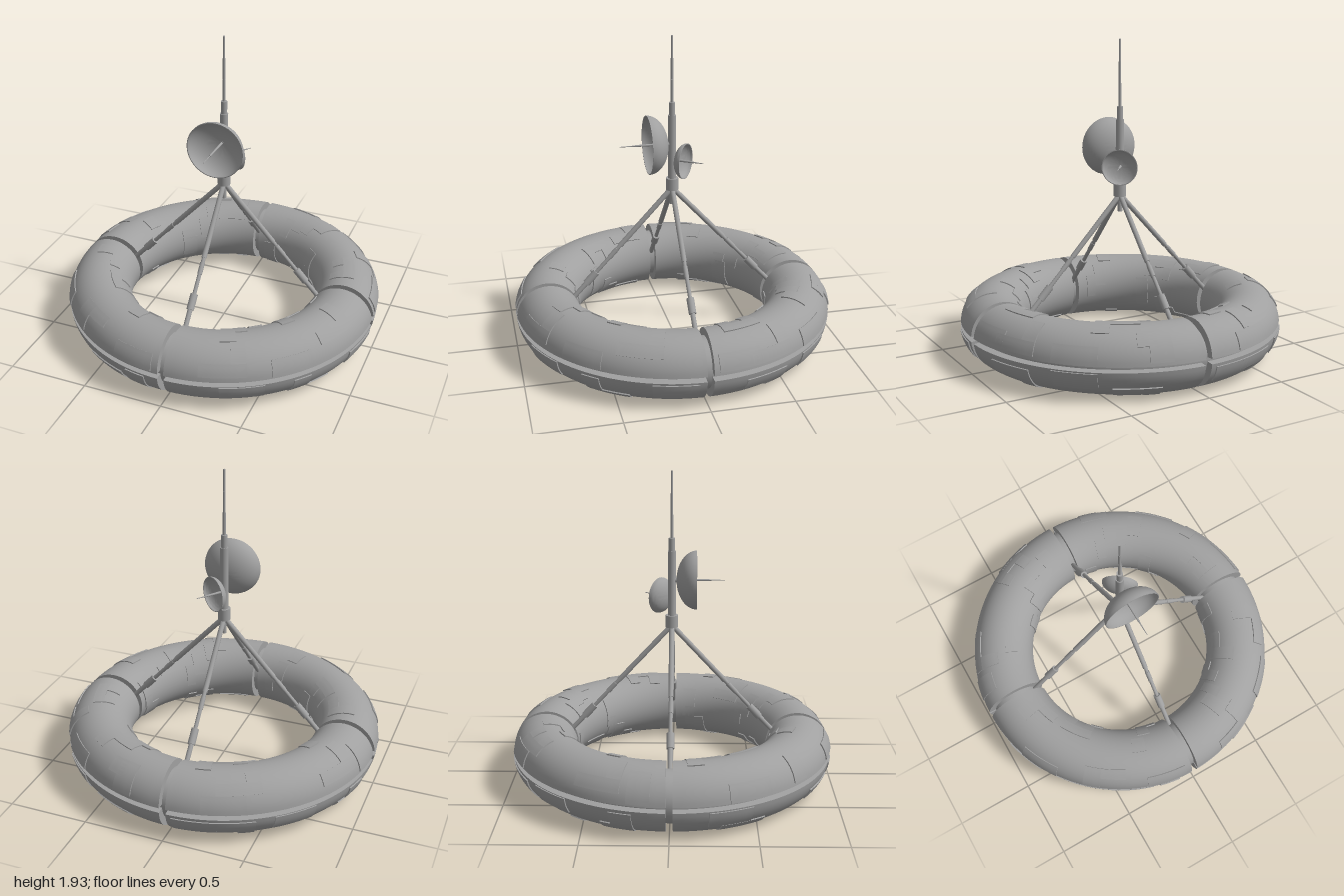
import * as THREE from 'three';
import { toCreasedNormals } from 'three/addons/utils/BufferGeometryUtils.js';

const RING = 0.795, MID = 0.207, SHELL = 0.198, PLATE = 0.205, CORE = 0.152, GAP = 0.02;
const rad = THREE.MathUtils.degToRad;

export function createModel() {
  const model = new THREE.Group();
  const grey = new THREE.MeshStandardMaterial({ color: 0xa0a0a0 });
  grey.name = 'hull grey';

  function add(parent, name, geometry) {
    const mesh = new THREE.Mesh(geometry, grey);
    mesh.name = name;
    parent.add(mesh);
    return mesh;
  }

  function group(parent, name) {
    const g = new THREE.Group();
    g.name = name;
    parent.add(g);
    return g;
  }

  // Box bent onto the ring: t runs around the ring, p around the tube, r is distance from the tube centre.
  // With gap set, the ends stay parallel to the neighbouring quadrant.
  function bend(t0, t1, p0, p1, r0, r1, gap = 0) {
    const nt = Math.max(1, Math.ceil((t1 - t0) / 3)), np = Math.max(1, Math.ceil((p1 - p0) / 7));
    const geo = new THREE.BoxGeometry(1, 1, 1, nt, np, 1);
    const pos = geo.attributes.position;
    for (let i = 0; i < pos.count; i++) {
      const p = rad(THREE.MathUtils.lerp(p0, p1, pos.getY(i) + 0.5));
      const r = THREE.MathUtils.lerp(r0, r1, pos.getZ(i) + 0.5);
      const rho = RING + r * Math.cos(p);
      const inset = gap ? Math.asin(gap / rho) : 0;
      const t = THREE.MathUtils.lerp(rad(t0) + inset, rad(t1) - inset, pos.getX(i) + 0.5);
      pos.setXYZ(i, rho * Math.cos(t), MID + r * Math.sin(p), -rho * Math.sin(t));
    }
    geo.computeVertexNormals();
    return geo;
  }

  // Ring: recessed core and four shell quadrants, with a slot along the outer equator
  const ring = group(model, 'ring');
  const core = add(ring, 'ringCore', new THREE.TorusGeometry(RING, CORE, 32, 96));
  core.rotation.x = Math.PI / 2;
  core.position.y = MID;
  for (let q = 0; q < 4; q++) {
    add(ring, 'ringShell', bend(q * 90, q * 90 + 90, 4.6, 355.4, 0.14, SHELL, GAP));
  }

  // Hull plate outlines as patches of cells: [around from, around to, tube from, tube to]
  const CELL_T = 5.5, CELL_P = 25;
  const outlines = {
    tile: [[0, 1.2, 0, 1.1]],
    slab: [[0, 2.8, 0, 1.2]],
    bar: [[0, 1.4, 0, 2.2]],
    ell: [[0, 3, 0, 0.9], [2, 3, 0.9, 2.4]],
    corner: [[0, 1.2, 0, 2], [1.2, 3, 1.2, 2]],
    hook: [[0, 3, 0, 0.8], [0, 1, 0.8, 1.8], [2, 3, 0.8, 1.6]],
    zig: [[0, 1.2, 0, 1.8], [1.2, 2.2, 1, 2.6]],
  };
  // Places of each outline in degrees: around the ring, then around the tube
  const places = {
    tile: [[152, 98], [246, 90], [66, 36]],
    slab: [[38, 6], [103, 7], [200, 6], [251, 8], [308, 7], [3, 10]],
    bar: [[70, 10], [40, 140], [132, 150], [346, 135], [166, 8]],
    ell: [[15, 10], [147, 22], [283, 14], [328, 36]],
    corner: [[187, 78], [226, 10], [318, 98], [99, 85]],
    hook: [[8, 78], [108, 38], [208, 110]],
    zig: [[50, 60], [62, 85], [115, 105], [290, 75], [304, 120], [250, 125]],
  };
  // The underside repeats the plates a quarter turn on
  const hull = group(ring, 'hullPlates');
  for (const [shape, spots] of Object.entries(places)) {
    for (const [t, p] of spots) {
      for (const [a, b, c, d] of outlines[shape]) {
        const t0 = t + a * CELL_T, t1 = t + b * CELL_T, p0 = p + c * CELL_P, p1 = p + d * CELL_P;
        add(hull, 'upperPlate', bend(t0, t1, p0, p1, 0.19, PLATE));
        add(hull, 'lowerPlate', bend(t0 + 90, t1 + 90, -p1, -p0, 0.19, PLATE));
      }
    }
  }

  // Straight rod between two points
  function rod(parent, name, a, b, r0, r1 = r0) {
    const from = new THREE.Vector3(...a), dir = new THREE.Vector3(...b).sub(from);
    const mesh = add(parent, name, new THREE.CylinderGeometry(r1, r0, dir.length(), 16));
    mesh.position.copy(from).addScaledVector(dir, 0.5);
    mesh.quaternion.setFromUnitVectors(new THREE.Vector3(0, 1, 0), dir.normalize());
  }

  // Four stays from the hub down into the ring gaps
  const along = (x) => [x, 0.985 - 1.08 * x, 0];
  for (let i = 0; i < 4; i++) {
    const stay = group(model, 'stay');
    rod(stay, 'stayUpper', along(0), along(0.33), 0.016);
    rod(stay, 'stayLower', along(0.33), along(0.5), 0.012);
    rod(stay, 'stayCollar', along(0.35), along(0.4), 0.015);
    rod(stay, 'staySleeve', along(0.485), along(0.55), 0.023);
    rod(stay, 'stayFoot', along(0.55), along(0.67), 0.015);
    stay.rotation.y = i * Math.PI / 2;
  }

  // Hub and stepped mast
  const mast = group(model, 'mast');
  const steps = [
    ['mastTail', 0.88, 0.98, 0.015], ['hub', 0.975, 1.05, 0.039], ['mastBase', 1.05, 1.45, 0.025],
    ['mastCollar', 1.45, 1.53, 0.019], ['antennaLower', 1.53, 1.67, 0.0095],
    ['antennaMiddle', 1.67, 1.8, 0.008], ['antennaTip', 1.8, 1.935, 0.0065],
  ];
  for (const [name, y0, y1, r] of steps) rod(mast, name, [0, y0, 0], [0, y1, 0], r);

  // Bowl opening along +z, with its back at the origin, and a feed spike
  function dish(name, radius, depth, spike) {
    const g = group(model, name);
    const profile = [], n = 14, wall = 0.01;
    for (let i = 0; i <= n; i++) {
      const a = i / n * Math.PI / 2;
      profile.push(new THREE.Vector2(radius * Math.sin(a), depth * (1 - Math.cos(a))));
    }
    for (let i = n; i >= 0; i--) {
      const a = i / n * Math.PI / 2;
      profile.push(new THREE.Vector2((radius - wall / 2) * Math.sin(a), depth - (depth - wall) * Math.cos(a)));
    }
    const bowl = add(g, 'bowl', toCreasedNormals(new THREE.LatheGeometry(profile, 48), rad(40)));
    bowl.rotation.x = Math.PI / 2;
    const middle = depth + (spike - depth) * 0.45;
    rod(g, 'feedStem', [0, 0, wall / 2], [0, 0, middle], 0.008, 0.006);
    rod(g, 'feedTip', [0, 0, middle], [0, 0, spike], 0.004, 0.002);
    return g;
  }
  const large = dish('largeDish', 0.18, 0.125, 0.295);
  large.position.set(0, 1.27, 0.028);
  const small = dish('smallDish', 0.11, 0.065, 0.18);
  small.position.set(0.007, 1.165, -0.023);
  small.rotation.y = Math.atan2(0.59, -0.81);
  rod(model, 'largeDishMount', [0, 1.27, 0], [0, 1.27, 0.04], 0.015);

  return model;
}
